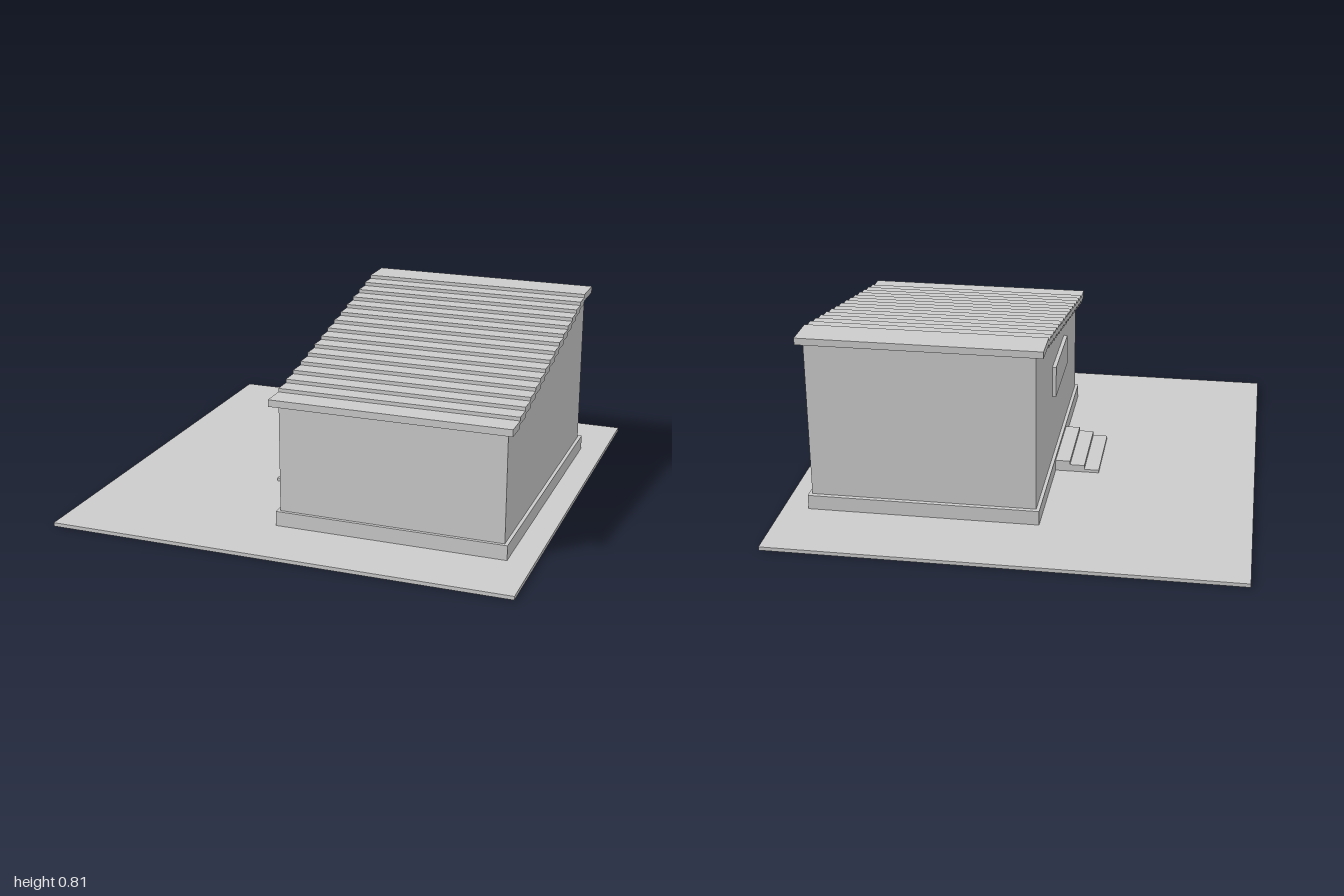
import * as THREE from 'three';

const material = new THREE.MeshStandardMaterial({ color: 0xcccccc, flatShading: true });

// Box given by its minimum and maximum along each axis
function block(name, [x0, x1], [y0, y1], [z0, z1]) {
  const mesh = new THREE.Mesh(new THREE.BoxGeometry(x1 - x0, y1 - y0, z1 - z0), material);
  mesh.position.set((x0 + x1) / 2, (y0 + y1) / 2, (z0 + z1) / 2);
  mesh.name = name;
  return mesh;
}

export function createModel() {
  const model = new THREE.Group();
  model.name = 'shedRoofBuilding';

  // Ground slab and plinth
  const groundTop = 0.016;
  model.add(block('ground', [-1, 1], [0, groundTop], [-1, 1]));
  model.add(block('plinth', [-0.11, 0.89], [groundTop, 0.08], [-0.65, 0.7]));

  // Walls: side profile (z, y) extruded across x, top hidden inside the roof planks
  const profile = new THREE.Shape([
    [0.685, 0.08], [0.685, 0.553], [0.605, 0.568], [-0.51, 0.787], [-0.63, 0.787], [-0.63, 0.08],
  ].map(([z, y]) => new THREE.Vector2(-z, y)));
  const wallGeometry = new THREE.ExtrudeGeometry(profile, { depth: 0.97, bevelEnabled: false });
  wallGeometry.rotateY(Math.PI / 2);
  const walls = new THREE.Mesh(wallGeometry, material);
  walls.position.x = -0.095;
  walls.name = 'walls';
  model.add(walls);

  // Roof: overlapping planks climbing from the front eave to the back
  const roof = new THREE.Group();
  roof.name = 'roof';
  const planks = 16, pitch = 1.115 / 14, rise = 0.235 / 15;
  for (let i = 0; i < planks; i++) {
    const front = i === 0 ? 0.713 : 0.605 - (i - 1) * pitch;
    const back = i === planks - 1 ? -0.667 : 0.605 - i * pitch;
    const y = 0.545 + i * rise;
    roof.add(block('roofPlank', [-0.13, 0.9], [y, y + 0.03], [back, front]));
  }
  model.add(roof);

  // Entrance steps on the side
  const steps = new THREE.Group();
  steps.name = 'steps';
  [0.029, 0.048, 0.065].forEach((top, i) => {
    const x = -0.305 + i * 0.065;
    steps.add(block('step', [x, i === 2 ? -0.11 : x + 0.065], [groundTop, top], [-0.13, 0.235]));
  });
  model.add(steps);

  // Panel on the wall above the steps
  model.add(block('wallPanel', [-0.112, -0.095], [0.385, 0.525], [-0.145, 0.24]));

  return model;
}
